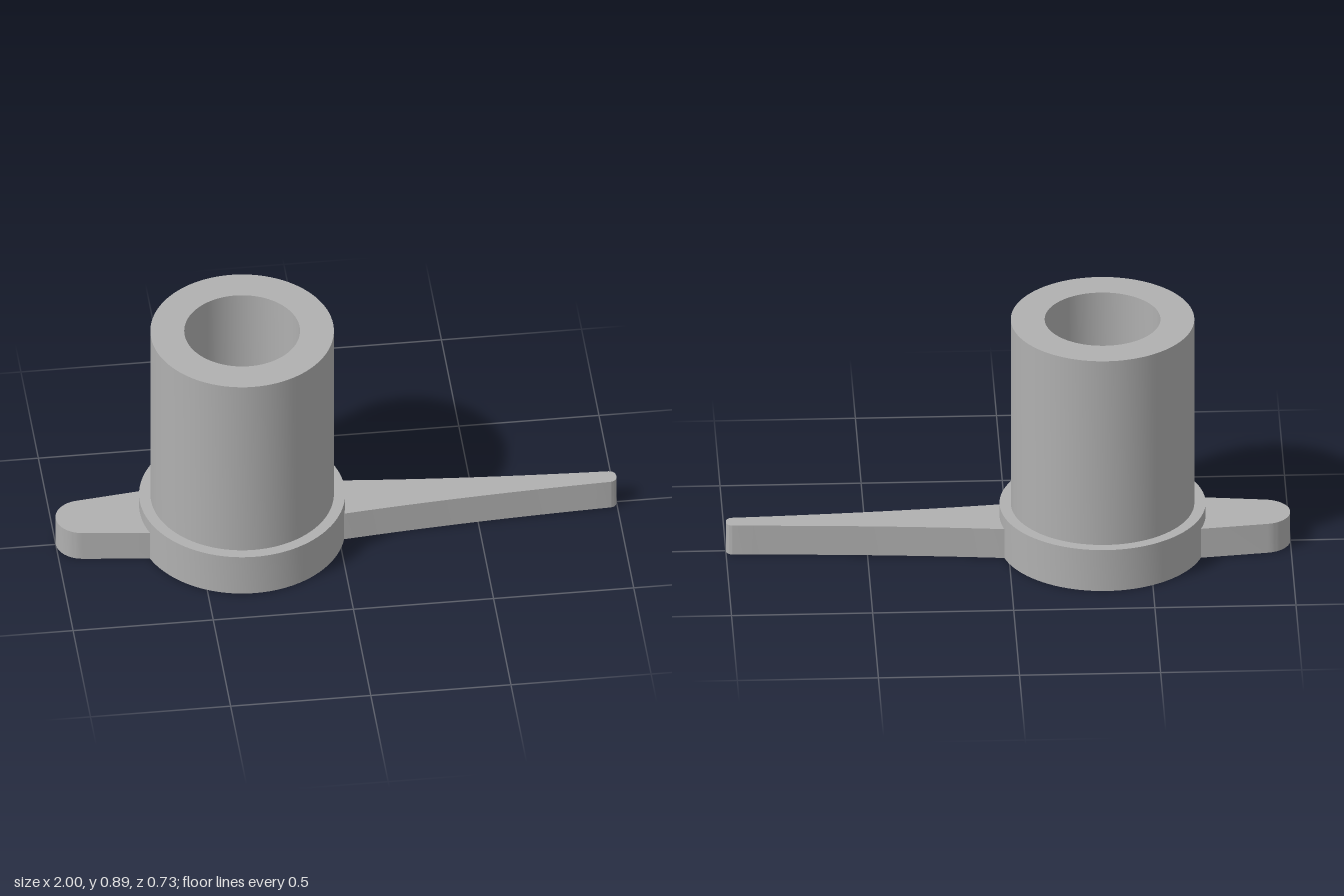
import * as THREE from 'three';
import { toCreasedNormals } from 'three/addons/utils/BufferGeometryUtils.js';

const HUB_X = -0.335;
const ARM_HEIGHT = 0.115;

export function createModel() {
  const model = new THREE.Group();
  model.name = 'hubWithPointerArms';
  const grey = new THREE.MeshStandardMaterial({ color: 0xb0b0b0 });
  grey.name = 'plain grey';

  const add = (name, geometry) => {
    const mesh = new THREE.Mesh(toCreasedNormals(geometry, 0.5), grey);
    mesh.name = name;
    model.add(mesh);
    return mesh;
  };

  // Flanged hub: outer wall, top rim, upper bore, narrow hole, lower recess
  const profile = [
    [0.196, 0], [0.365, 0], [0.365, 0.163], [0.325, 0.163], [0.325, 0.895],
    [0.205, 0.895], [0.205, 0.163], [0.107, 0.163], [0.107, 0.08], [0.196, 0.08], [0.196, 0],
  ].map(([r, y]) => new THREE.Vector2(r, y));
  add('hub', new THREE.LatheGeometry(profile, 96)).position.x = HUB_X;

  // Flat plates lying on the ground plane, extruded upward
  const plate = (shape) => new THREE.ExtrudeGeometry(shape, {
    depth: ARM_HEIGHT, bevelEnabled: false, curveSegments: 16,
  }).rotateX(-Math.PI / 2);

  // Long arm with concave tapering sides and a small rounded tip
  const long = new THREE.Shape();
  long.moveTo(-0.03, -0.1);
  long.lineTo(0.02, -0.096);
  long.quadraticCurveTo(0.45, -0.05, 0.97, -0.031);
  long.quadraticCurveTo(1, -0.031, 1, 0);
  long.quadraticCurveTo(1, 0.031, 0.97, 0.031);
  long.quadraticCurveTo(0.45, 0.05, 0.02, 0.096);
  long.lineTo(-0.03, 0.1);
  long.closePath();
  add('longArm', plate(long));

  // Short arm with straight sides and a round end
  const short = new THREE.Shape();
  short.moveTo(-0.64, 0.127);
  short.lineTo(-0.915, 0.094);
  short.bezierCurveTo(-0.965, 0.088, -1, 0.047, -1, 0);
  short.bezierCurveTo(-1, -0.047, -0.965, -0.088, -0.915, -0.094);
  short.lineTo(-0.64, -0.127);
  short.closePath();
  add('shortArm', plate(short));

  return model;
}
